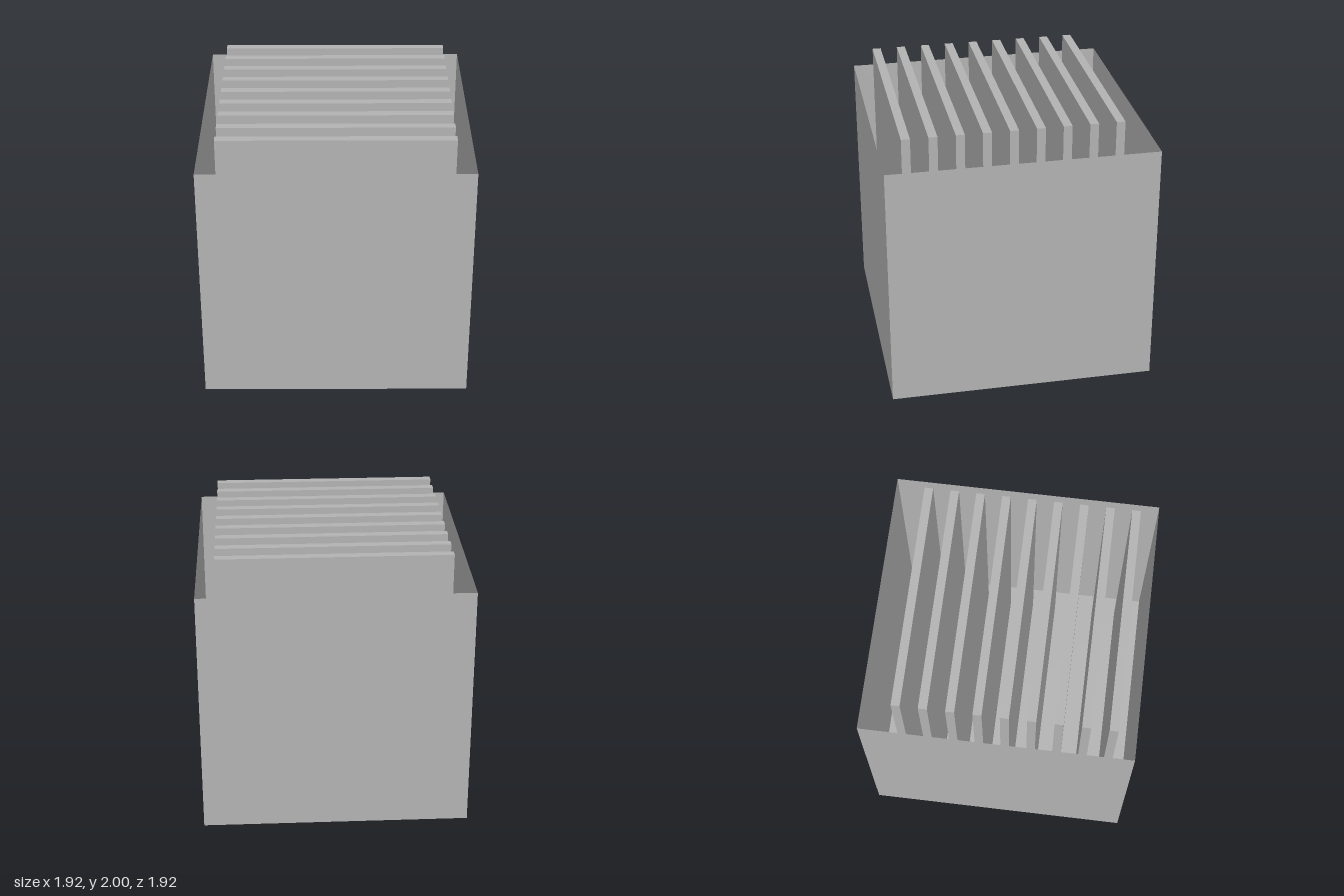
import * as THREE from 'three';

const SIDE = 1.92, HEIGHT = 1.815;
const PLATES = 9, PITCH = 0.1865, FIRST_Z = -0.7;

export function createModel() {
  const model = new THREE.Group();
  model.name = 'plateTank';

  const grey = new THREE.MeshStandardMaterial({ color: 0xb2b2b2, side: THREE.DoubleSide });
  grey.name = 'grey';

  // Open-topped tank: four thin walls and a floor
  const tank = new THREE.Group();
  tank.name = 'tank';
  const wallShape = new THREE.PlaneGeometry(SIDE, HEIGHT).translate(0, HEIGHT / 2, SIDE / 2);
  ['frontWall', 'leftWall', 'backWall', 'rightWall'].forEach((name, i) => {
    const wall = new THREE.Mesh(wallShape, grey);
    wall.name = name;
    wall.rotation.y = i * Math.PI / 2;
    tank.add(wall);
  });
  const floor = new THREE.Mesh(new THREE.PlaneGeometry(SIDE, SIDE).rotateX(Math.PI / 2), grey);
  floor.name = 'floor';
  tank.add(floor);
  model.add(tank);

  // Row of upright plates standing in the tank and rising above its rim
  const bottom = 0.01, top = 2;
  const plateShape = new THREE.BoxGeometry(1.65, top - bottom, 0.062);
  for (let i = 0; i < PLATES; i++) {
    const plate = new THREE.Mesh(plateShape, grey);
    plate.name = `plate${i + 1}`;
    plate.position.set(0, (top + bottom) / 2, FIRST_Z + i * PITCH);
    model.add(plate);
  }
  return model;
}
